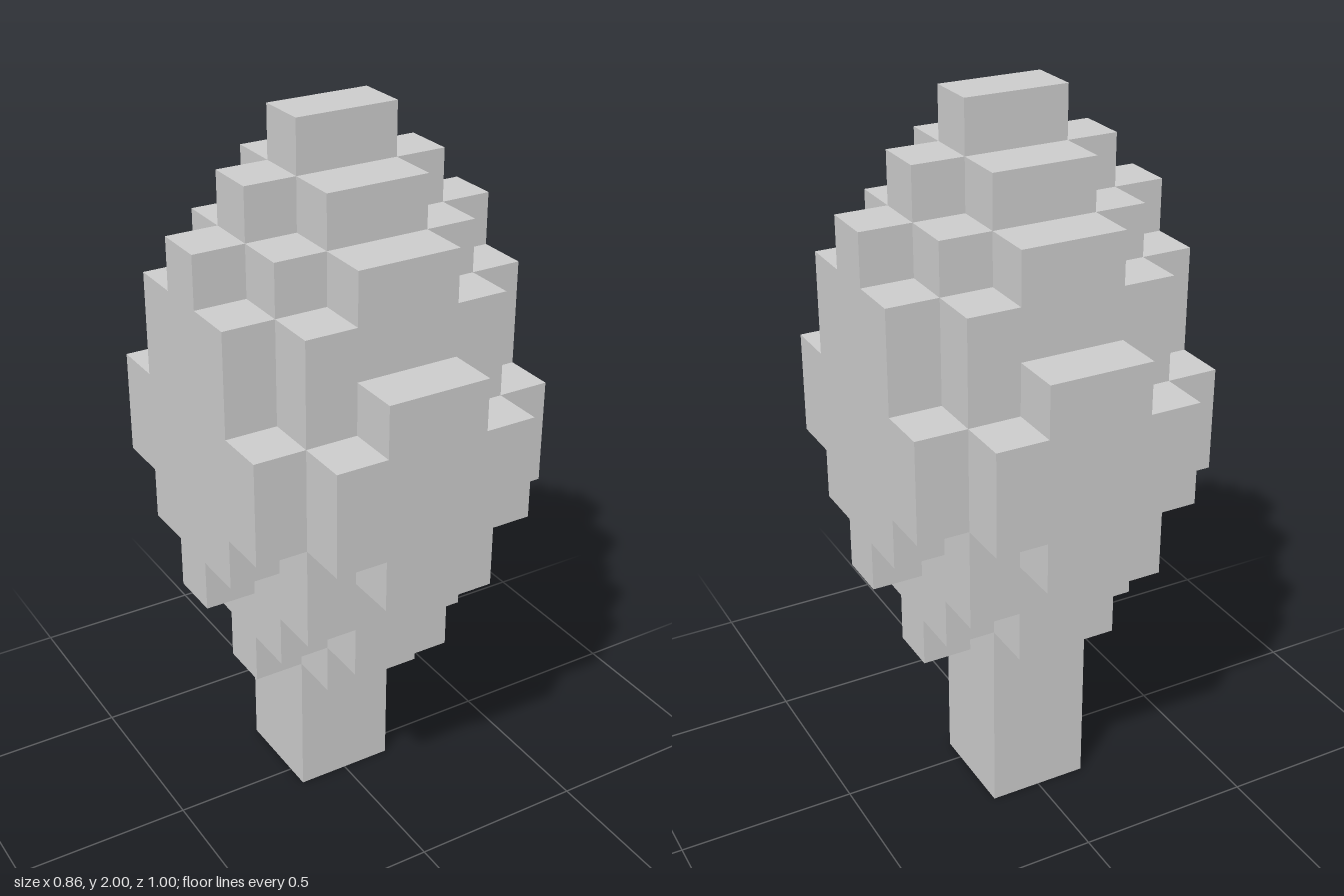
import * as THREE from 'three';

const U = 2 / 14; // size of one block

// For each half width in x: [bottom, top] of the block columns at |z| = 0, 1, 2, 3
const layers = [
  { half: 1, columns: [[3, 14], [3, 13], [4, 12], [6, 10]] },
  { half: 2, columns: [[3, 13], [4, 12], [5, 11], [7, 9]] },
  { half: 3, columns: [[5, 12], [6, 11], [7, 9]] },
];

// Stepped outline in (z, y), mirrored about z = 0
function steppedOutline(columns) {
  const right = [];
  columns.forEach(([bottom], i) => {
    right.push([i ? i - 0.5 : 0, bottom], [i + 0.5, bottom]);
  });
  for (let i = columns.length - 1; i >= 0; i--) {
    const top = columns[i][1];
    right.push([i + 0.5, top], [i ? i - 0.5 : 0, top]);
  }
  const left = right.slice(1, -1).reverse().map(([z, y]) => [-z, y]);
  const points = [...right, ...left].map(([z, y]) => new THREE.Vector2(z * U, y * U));
  // drop repeated corners where neighbouring columns are level
  return new THREE.Shape(points.filter((p, i) => i === 0 || p.distanceTo(points[i - 1]) > 1e-6));
}

export function createModel() {
  const material = new THREE.MeshStandardMaterial({ color: 0xcccccc, flatShading: true });
  const tree = new THREE.Group();
  tree.name = 'blockTree';

  // Crown: three nested stepped slabs, the widest having the smallest outline
  const crown = new THREE.Group();
  crown.name = 'crown';
  for (const { half, columns } of layers) {
    const geometry = new THREE.ExtrudeGeometry(steppedOutline(columns), {
      depth: 2 * half * U,
      bevelEnabled: false,
    });
    geometry.translate(0, 0, -half * U).rotateY(Math.PI / 2);
    const slab = new THREE.Mesh(geometry, material);
    slab.name = `crownLayer${half}`;
    crown.add(slab);
  }
  tree.add(crown);

  // Trunk: two blocks square, set half a block back, running up into the crown
  const trunk = new THREE.Mesh(new THREE.BoxGeometry(2 * U, 4 * U, 2 * U), material);
  trunk.name = 'trunk';
  trunk.position.set(0, 2 * U, -0.5 * U);
  tree.add(trunk);

  return tree;
}
